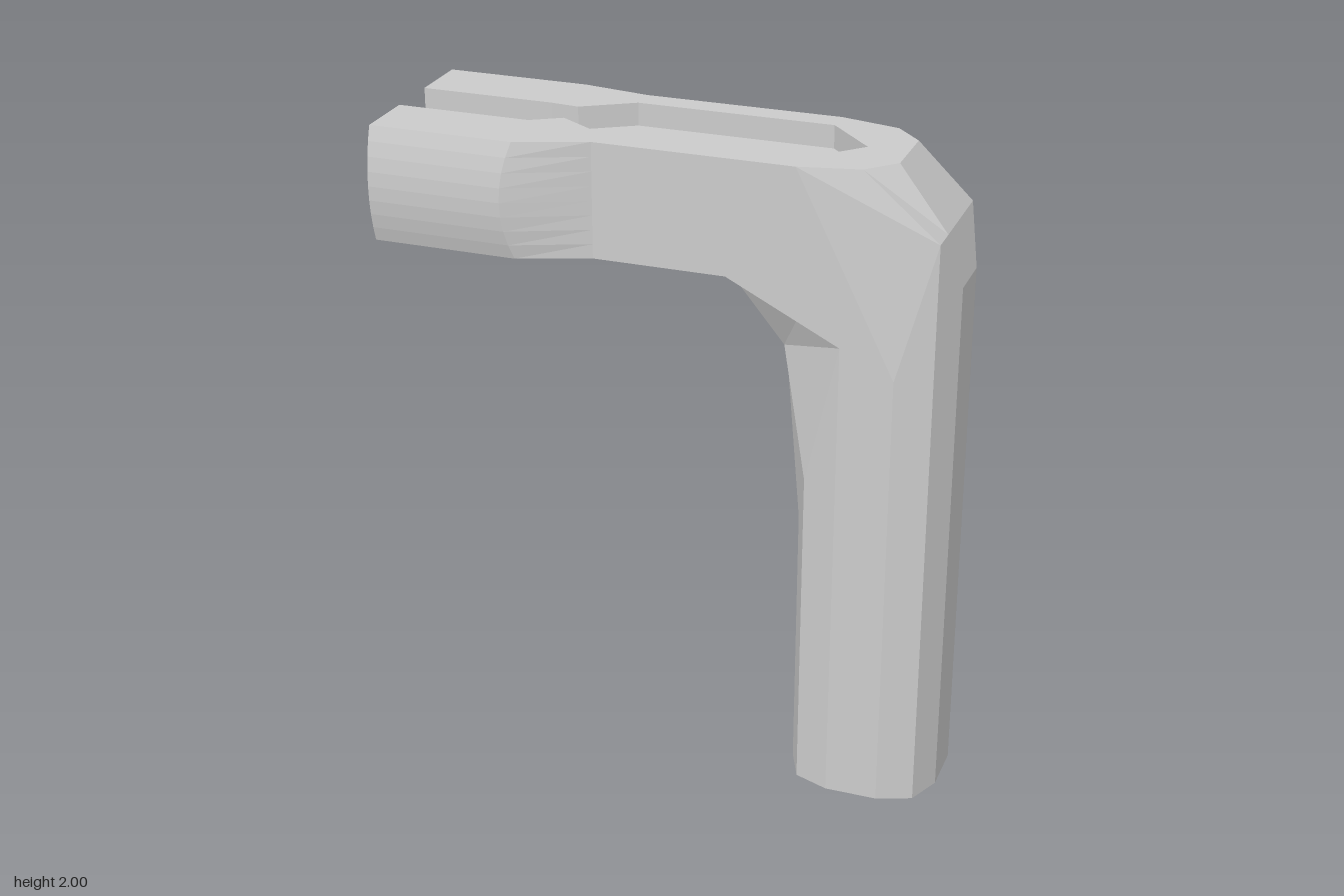
import * as THREE from 'three';
import { ConvexGeometry } from 'three/addons/geometries/ConvexGeometry.js';

const TOP = 2, LOW = 1.65, FLOOR = 1.93;
const material = new THREE.MeshStandardMaterial({ color: 0xcccccc, flatShading: true, side: THREE.DoubleSide });

// The shaft and head sit slightly behind the fork's centre line.
const point = (x, y, w) => [x, y, w + (x < -0.4 ? 0 : -0.023)];

// Skin of quads between successive rows of points.
function skin(rows, flip = false) {
  const out = [];
  const tri = (a, b, c) => {
    const [p, q, r] = [a, b, c].map(v => new THREE.Vector3(...v));
    if (q.clone().sub(p).cross(r.clone().sub(p)).length() < 1e-7) return;
    out.push(...a, ...(flip ? [...c, ...b] : [...b, ...c]));
  };
  for (let i = 0; i + 1 < rows.length; i++) {
    for (let j = 0; j + 1 < rows[i].length; j++) {
      const p = rows[i][j], q = rows[i][j + 1], r = rows[i + 1][j + 1], s = rows[i + 1][j];
      tri(p, s, r);
      tri(p, r, q);
    }
  }
  const g = new THREE.BufferGeometry();
  g.setAttribute('position', new THREE.Float32BufferAttribute(out, 3));
  g.computeVertexNormals();
  return g;
}

// Level polygon through [x, w] points, facing up or down.
function level(points, y, up) {
  const pts = points.map(([x, w]) => {
    const z = point(x, y, w)[2];
    return new THREE.Vector2(x, up ? -z : z);
  });
  return new THREE.ShapeGeometry(new THREE.Shape(pts)).rotateX(up ? -Math.PI / 2 : Math.PI / 2).translate(0, y, 0);
}

const mirror = pts => pts.map(([x, w]) => [x, -w]).reverse();

export function createModel() {
  const model = new THREE.Group();
  const add = (name, geometry) => {
    const mesh = new THREE.Mesh(geometry, material);
    mesh.name = name;
    model.add(mesh);
  };

  // Half rings [x, y, half width], from the outer side to the inner side of the bend
  const halves = [
    [[0.85, 0, 0.08], [0.805, 0, 0.185], [0.7, 0, 0.225], [0.54, 0, 0.225], [0.435, 0, 0.185], [0.39, 0, 0.08]],
    [[0.85, 1.65, 0.08], [0.805, 1.81, 0.185], [0.7, 1.4, 0.225], [0.54, 1.48, 0.225], [0.435, 1.03, 0.185], [0.39, 0.85, 0.08]],
    [[0.805, 1.81, 0.1], [0.805, 1.81, 0.185], [0.7, 1.4, 0.225], [0.44, 1.61, 0.225], [0.34, 1.41, 0.1], [0.34, 1.41, 0.08]],
    [[0.66, TOP, 0.1], [0.58, TOP, 0.185], [0.4, TOP, 0.225], [0.2, LOW, 0.225], [0.2, LOW, 0.185], [0.2, LOW, 0.08]],
  ];
  const rings = halves.map(h => {
    const right = h.map(([x, y, w]) => point(x, y, w));
    const left = h.map(([x, y, w]) => point(x, y, -w)).reverse();
    return [...right, ...left, right[0]];
  });
  add('shaftAndElbow', skin(rings));
  add('shaftBase', level([...halves[0].map(p => [p[0], p[2]]), ...mirror(halves[0].map(p => [p[0], p[2]]))], 0, false));

  // Head sides and underside, straight back to the fork
  const headRow = rings[3].slice(2, 10);
  add('headSides', skin([headRow, headRow.map(([, y, z]) => [-0.2, y, z])]));

  // Top face, open where the pocket runs into the fork
  const rim = [[-0.352, 0.054], [-0.2, 0.148], [0.4, 0.148]];
  const topHalf = [
    [0.66, 0.1], [0.58, 0.185], [0.4, 0.225], [-0.2, 0.225], [-0.41, 0.28],
    [-0.85, 0.28], [-0.85, 0.085], [-0.44, 0.085], ...rim,
  ];
  add('topFace', level([...topHalf, [0.54, 0], ...mirror(topHalf)], TOP, true));
  add('pocketFloor', level([...rim, [0.54, 0], ...mirror(rim), [-0.2, 0]], FLOOR, true));

  // Mirrored prongs and pocket walls
  for (const s of [1, -1]) {
    const side = s > 0 ? 'left' : 'right';
    const flip = s < 0;
    const wall = (pts, y0, y1) => skin([y0, y1].map(y => pts.map(([x, w]) => point(x, y, s * w))), flip);
    add(side + 'PocketWall', wall([...rim, [0.54, 0]], FLOOR, TOP));

    // Bulged outer face
    const root = [], shoulder = [], tip = [], inner = [];
    for (let i = 0; i <= 8; i++) {
      const t = i / 4 - 1, bulge = 0.03 * (1 - t * t);
      const y = THREE.MathUtils.lerp(TOP, LOW, i / 8);
      root.push(point(-0.2, y, s * 0.225));
      shoulder.push(point(-0.41 - bulge, y, s * (0.28 + bulge)));
      tip.push(point(-0.85, y, s * (0.28 + bulge)));
      inner.push(point(-0.85, y, s * 0.085));
    }
    add(side + 'ProngOuter', skin([root, shoulder, tip], flip));
    add(side + 'ProngEnd', skin([tip, inner], flip));

    // Inner faces of the notch
    add(side + 'ProngInner', wall([[-0.85, 0.085], [-0.44, 0.085], rim[0]], LOW, TOP));
    add(side + 'NotchWall', wall([rim[0], [-0.2, 0]], LOW, FLOOR));
    const under = [[-0.2, 0.225], [-0.41, 0.28], [-0.85, 0.28], [-0.85, 0.085], [-0.44, 0.085], [-0.2, 0]];
    add(side + 'ProngUnderside', level(under.map(([x, w]) => [x, s * w]), LOW, false));
  }

  // Small wedge below the notch
  const wedge = [[-0.44, LOW, -0.085], [-0.44, LOW, -0.03], [-0.2, LOW, -0.01], [-0.2, 1.6, -0.023]];
  add('notchWedge', new ConvexGeometry(wedge.map(p => new THREE.Vector3(...p))));

  return model;
}
